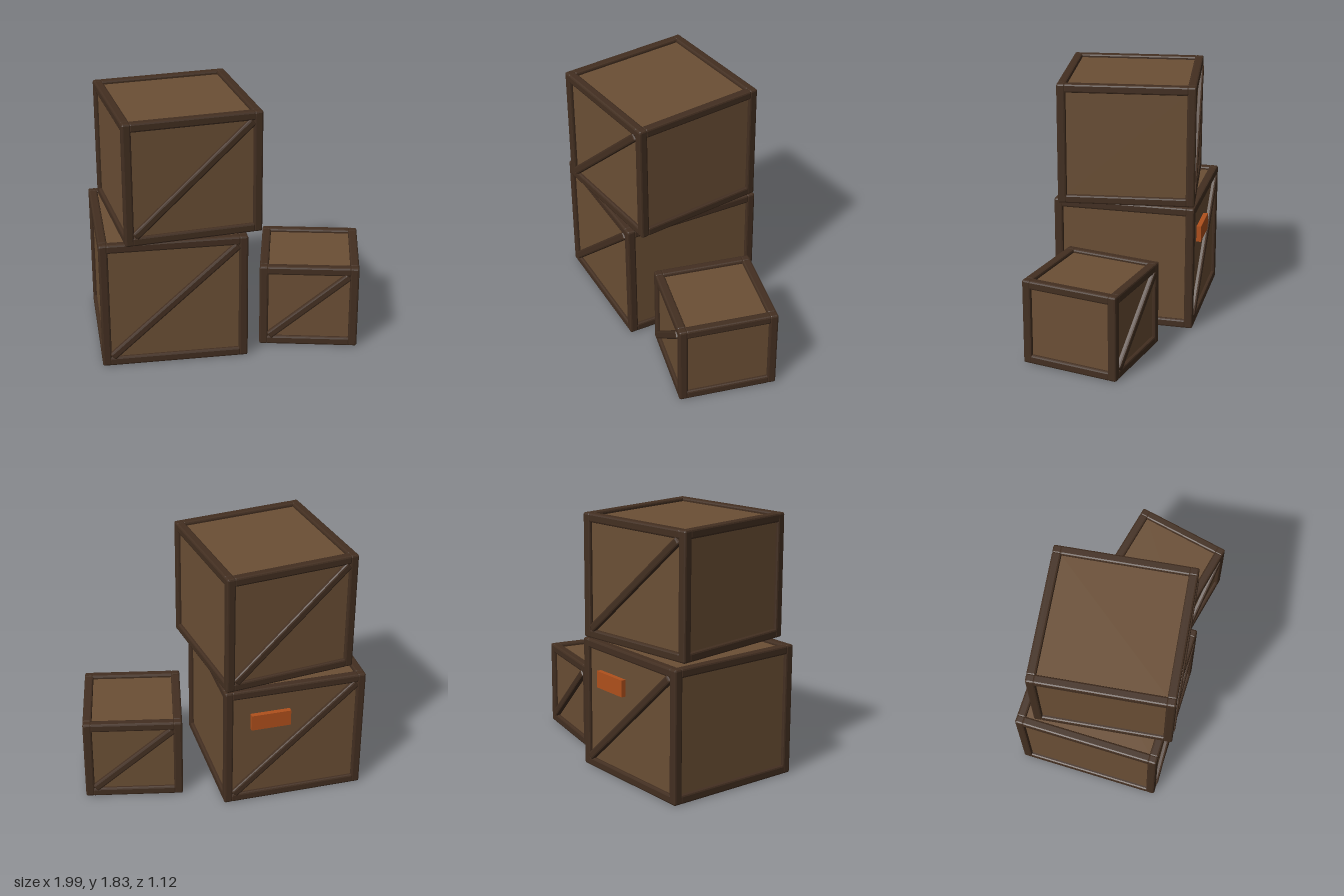
import * as THREE from 'three';
import { RoundedBoxGeometry } from 'three/addons/geometries/RoundedBoxGeometry.js';

const BEAM = 0.064;    // thickness of the frame beams
const BEVEL = 0.013;   // softened beam edges
const INSET = 0.025;   // how far the panels sit behind the frame

const makeMaterial = (color) => new THREE.MeshStandardMaterial({ color, flatShading: true });
const panelMaterial = makeMaterial(0x6b4f35);
const beamMaterial = makeMaterial(0x432f21);
const labelMaterial = makeMaterial(0xb0501c);

function addBeam(parent, name, size, position) {
  const bevel = Math.min(BEVEL, Math.min(...size) * 0.3);
  const mesh = new THREE.Mesh(new RoundedBoxGeometry(...size, 1, bevel), beamMaterial);
  mesh.name = name;
  mesh.position.set(...position);
  parent.add(mesh);
  return mesh;
}

// A framed crate standing on its own y = 0, with a diagonal brace front and back
function createCrate(name, w, h, d) {
  const crate = new THREE.Group();
  crate.name = name;

  // Panelled body, slightly smaller than the frame
  const body = new THREE.Mesh(
    new THREE.BoxGeometry(w - 2 * INSET, h - 2 * INSET, d - 2 * INSET), panelMaterial);
  body.name = 'panels';
  body.position.y = h / 2;
  crate.add(body);

  // Corner posts, with rails running between them
  const x = (w - BEAM) / 2, y = (h - BEAM) / 2, z = (d - BEAM) / 2;
  const tuck = 2 * (BEAM - BEVEL);
  for (const a of [-1, 1]) {
    for (const b of [-1, 1]) {
      addBeam(crate, 'cornerPost', [BEAM, h, BEAM], [a * x, h / 2, b * z]);
      addBeam(crate, 'crossRail', [w - tuck, BEAM, BEAM], [0, h / 2 + a * y, b * z]);
      addBeam(crate, 'sideRail', [BEAM, BEAM, d - tuck], [a * x, h / 2 + b * y, 0]);
    }
  }

  // Diagonal braces, the back one turned half way round
  const run = w - 0.14, rise = h - 0.135, depth = 0.045;
  for (const turn of [0, Math.PI]) {
    const side = new THREE.Group();
    side.name = turn ? 'backBrace' : 'frontBrace';
    side.rotation.y = turn;
    const brace = addBeam(side, 'diagonalBrace',
      [Math.hypot(run, rise), 0.058, depth], [0, h / 2, d / 2 + 0.008 - depth / 2]);
    brace.rotation.z = Math.atan2(rise, run);
    crate.add(side);
  }
  return crate;
}

export function createModel() {
  const model = new THREE.Group();
  model.name = 'crateStack';

  // name, width, height, depth, position, turn
  const crates = [
    ['lowerCrate', 1.04, 0.94, 1.04, [-0.48, 0, -0.028], 0],
    ['upperCrate', 0.975, 0.885, 0.985, [-0.395, 0.945, 0.003], 0.125],
    ['smallCrate', 0.71, 0.625, 0.715, [0.57, 0, 0.073], -0.215],
  ];
  for (const [name, w, h, d, position, turn] of crates) {
    const crate = createCrate(name, w, h, d);
    crate.position.set(...position);
    crate.rotation.y = turn;
    model.add(crate);
  }

  // Blank shipping label on the back of the lower crate
  const label = new THREE.Mesh(new THREE.BoxGeometry(0.29, 0.12, 0.035), labelMaterial);
  label.name = 'label';
  label.position.set(-0.295, 0.68, -0.551);
  model.add(label);

  return model;
}
